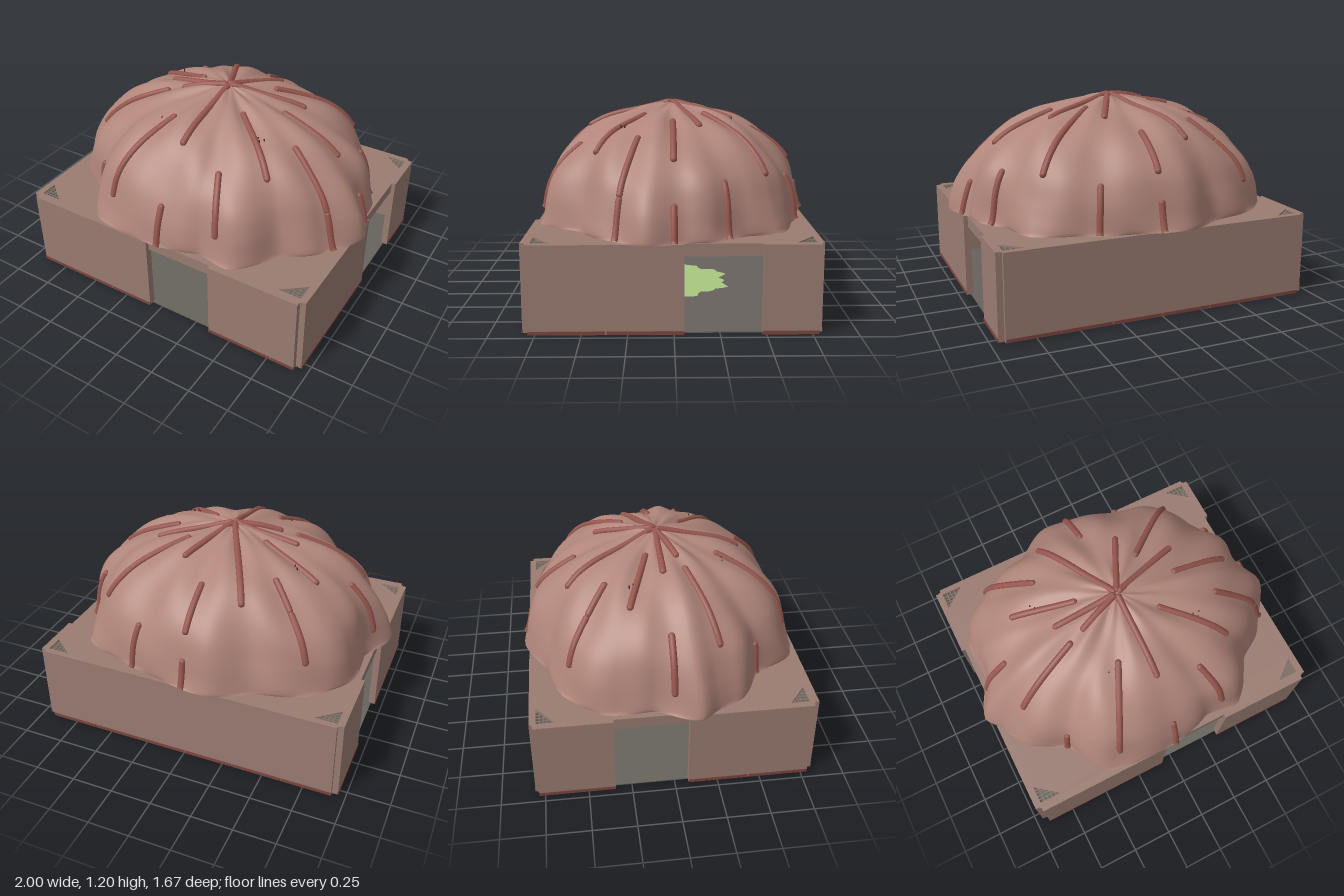
import * as THREE from 'three';

const mat = (color) => new THREE.MeshStandardMaterial({ color, side: THREE.DoubleSide });
const M = {
  wall: mat(0x9a7c72), dome: mat(0xb0857a), vein: mat(0x96564d), trim: mat(0x7c453e),
  floor: mat(0x67625c), moss: mat(0xa8c880), grille: mat(0x7a7268), dark: mat(0x4a2f2b), glow: mat(0xe0a070),
};
const ELL = [0.93, 0.8];

// dome footprint (x, z) by growing angle
const OUTLINE = [
  [1, .14], [.845, .385], [.66, .53], [.47, .775], [.25, .75], [-.155, .82], [-.465, .775], [-.61, .535],
  [-.85, .385], [-.92, .25], [-1, .14], [-.89, -.11], [-.89, -.375], [-.72, -.59], [-.4, -.71],
  [-.155, -.83], [.17, -.78], [.43, -.71], [.72, -.6], [.78, -.4], [.91, -.21], [.925, -.07],
].map(([x, z]) => ({ a: (Math.atan2(z, x) + 2 * Math.PI) % (2 * Math.PI), r: Math.hypot(x, z) }));

// dome profile (relative radius, height)
const PROFILE = new THREE.SplineCurve([
  [1, .5], [.985, .57], [.955, .68], [.9, .8], [.8, .91], [.66, 1.01], [.48, 1.085], [.28, 1.135], [.12, 1.165], [0, 1.18],
].map((p) => new THREE.Vector2(...p)));

function footRadius(angle) {
  const full = 2 * Math.PI, n = OUTLINE.length;
  const a = ((angle % full) + full) % full;
  let i = OUTLINE.findIndex((p) => p.a > a);
  if (i < 0) i = 0;
  const p = OUTLINE[(i + n - 1) % n], q = OUTLINE[i];
  const span = (q.a - p.a + full) % full;
  const k = ((a - p.a + full) % full) / span;
  return p.r + (q.r - p.r) * (k * 0.5 + k * k * (3 - 2 * k) * 0.5);
}

// point on the lumpy dome; phi is the ellipse angle, t runs from rim to crown
function domePoint(phi, t) {
  const ex = ELL[0] * Math.cos(phi), ez = ELL[1] * Math.sin(phi);
  const a = Math.atan2(ez, ex), er = Math.hypot(ex, ez);
  const p = PROFILE.getPoint(t);
  const r = p.x * THREE.MathUtils.lerp(footRadius(a), er, Math.min(1, t * 0.9));
  const body = Math.sin(Math.PI * Math.min(1, t * 1.02));
  const pleat = -0.014 * Math.cos(16 * phi) * Math.sin(Math.PI * Math.sqrt(t));
  const lump = 0.013 * body * (Math.sin(5 * phi + 9 * t) + Math.sin(9 * phi - 14 * t + 2));
  const push = 1 + (pleat + lump) * (1 - t);
  return new THREE.Vector3(r * push * Math.cos(a), p.y + (pleat + lump) * t * 1.2, r * push * Math.sin(a));
}

// rim-to-crown parameter at a relative radius
function paramAt(rho) {
  let lo = 0, hi = 1;
  for (let i = 0; i < 24; i++) {
    const m = (lo + hi) / 2;
    if (PROFILE.getPoint(m).x > rho) lo = m; else hi = m;
  }
  return lo;
}

function domeGeometry(rows = 48, cols = 192) {
  const pos = [], idx = [];
  for (let j = 0; j <= rows; j++) {
    for (let i = 0; i < cols; i++) pos.push(...domePoint((i / cols) * Math.PI * 2, j / rows).toArray());
  }
  for (let j = 0; j < rows; j++) {
    for (let i = 0; i < cols; i++) {
      const a = j * cols + i, b = j * cols + (i + 1) % cols;
      idx.push(a, a + cols, b, b, a + cols, b + cols);
    }
  }
  const g = new THREE.BufferGeometry();
  g.setAttribute('position', new THREE.Float32BufferAttribute(pos, 3));
  g.setIndex(idx);
  g.computeVertexNormals();
  return g;
}

export function createModel() {
  const root = new THREE.Group();
  const add = (name, geo, material, x = 0, y = 0, z = 0, parent = root) => {
    const m = new THREE.Mesh(geo, material);
    m.name = name;
    m.position.set(x, y, z);
    parent.add(m);
    return m;
  };
  // box given by its limits
  const slab = (name, material, x0, x1, y0, y1, z0, z1) =>
    add(name, new THREE.BoxGeometry(x1 - x0, y1 - y0, z1 - z0), material, (x0 + x1) / 2, (y0 + y1) / 2, (z0 + z1) / 2);

  // floor with a ragged moss patch
  slab('floor', M.floor, -.93, .93, 0, .006, -.79, .795);
  const moss = new THREE.Shape(Array.from({ length: 60 }, (_, i) => {
    const a = (i / 60) * Math.PI * 2;
    const r = .35 + .025 * Math.sin(7 * a) + .02 * Math.sin(17 * a + 1);
    return new THREE.Vector2(r * Math.cos(a), r * Math.sin(a));
  }));
  add('mossPatch', new THREE.ShapeGeometry(moss).rotateX(-Math.PI / 2), M.moss, 0, .01, 0);

  // walls: closed at the back, a doorway in the other three
  slab('backWall', M.wall, -.92, .92, 0, .5, -.806, -.77);
  slab('frontWallRight', M.wall, -.92, -.07, 0, .5, .78, .823);
  slab('frontWallLeft', M.wall, .355, .92, 0, .5, .78, .823);
  slab('frontLintel', M.wall, -.07, .355, .43, .5, .78, .8);
  for (const [side, z0, z1] of [[1, -.48, -.055], [-1, -.345, .08]]) {
    const xs = side > 0 ? [.915, .955] : [-.955, -.915];
    slab('sideWallBack', M.wall, ...xs, 0, .5, -.785, z0);
    slab('sideWallFront', M.wall, ...xs, 0, .5, z1, .79);
    slab('sideLintel', M.wall, side > 0 ? .915 : -.93, side > 0 ? .93 : -.915, .43, .5, z0, z1);
    // base trim along the side
    for (const [a, b] of [[-.785, z0], [z1, (z1 + .79) / 2 - .004], [(z1 + .79) / 2 + .004, .79]]) {
      slab('sideTrim', M.trim, side > 0 ? .95 : -.958, side > 0 ? .958 : -.95, 0, .02, a, b);
    }
  }
  for (const [a, b] of [[-.92, -.365], [-.36, -.215], [-.21, -.07], [.355, .63], [.635, .77], [.775, .92]]) {
    slab('frontTrim', M.trim, a, b, 0, .02, .818, .826);
  }
  for (let i = 0; i < 6; i++) {
    slab('backTrim', M.trim, -.92 + i * .307, -.92 + i * .307 + .302, 0, .02, -.81, -.8);
  }

  // roof plate, open under the dome and at the four corner vents
  const roof = new THREE.Shape([[-.932, -.79], [.932, -.79], [.932, .797], [-.932, .797]].map((p) => new THREE.Vector2(...p)));
  const opening = new THREE.Path();
  opening.absellipse(0, 0, .8, .68, 0, Math.PI * 2);
  roof.holes.push(opening);
  for (const sx of [1, -1]) {
    for (const sz of [1, -1]) {
      const x = sx * .912, z = sz * .768;
      roof.holes.push(new THREE.Path([[x, z], [x - sx * .13, z], [x, z - sz * .105]].map((p) => new THREE.Vector2(...p))));
      // grille bars in each vent
      for (let i = 1; i < 5; i++) {
        const k = i / 5;
        add('ventBar', new THREE.BoxGeometry(.008, .008, .105 * (1 - k)), M.grille, x - sx * .13 * k, .49, z - sz * .0525 * (1 - k));
        add('ventCrossbar', new THREE.BoxGeometry(.13 * (1 - k), .008, .008), M.grille, x - sx * .065 * (1 - k), .488, z - sz * .105 * k);
      }
    }
  }
  add('roof', new THREE.ExtrudeGeometry(roof, { depth: .02, bevelEnabled: false, curveSegments: 32 }).rotateX(Math.PI / 2), M.wall, 0, .5, 0);

  // dome
  add('dome', domeGeometry(), M.dome);

  // veins: meridian number, then inner and outer relative radius
  const veins = [
    [0, .41, .78], [0, .95, 1], [1, .64, .93], [1, .94, 1], [2, .3, .78], [3, .74, .96], [4, .03, .62], [4, .93, 1],
    [5, .46, .88], [5, .89, .95], [6, .95, 1], [7, .42, .87], [7, .03, .3], [8, .03, .42], [8, .8, .97], [9, .27, .67],
    [10, .58, .76], [10, .78, .95], [11, .03, .73], [12, .62, .88], [12, .96, 1], [13, .03, .47], [13, .92, 1],
    [14, .33, .88], [15, .03, .5], [15, .9, 1],
  ];
  for (const [n, inner, outer] of veins) {
    const t0 = paramAt(outer), t1 = paramAt(inner);
    const phi = (n / 16) * Math.PI * 2;
    const pts = Array.from({ length: 9 }, (_, i) => domePoint(phi, t0 + (t1 - t0) * (i / 8)));
    const vein = new THREE.Group();
    vein.name = 'vein';
    root.add(vein);
    add('veinTube', new THREE.TubeGeometry(new THREE.CatmullRomCurve3(pts), 20, .02, 10), M.vein, 0, 0, 0, vein);
    // tapered ends
    for (const p of [pts[0], pts[8]]) {
      if (p.y > .53) add('veinEnd', new THREE.SphereGeometry(.02, 10, 8), M.vein, p.x, p.y, p.z, vein);
    }
  }

  // hanging lamps, their cords just piercing the dome
  for (const [x, z, top] of [[.12, -.35, 1.08], [-.43, -.19, 1.07], [-.22, .36, 1.07], [.36, .29, 1.07]]) {
    for (let i = 0; i < 5; i++) {
      const dx = (i - 2) * .02, dz = (i % 2) * .025 - .012;
      add('lampCord', new THREE.CylinderGeometry(.004, .004, .34, 6), M.dark, x + dx, top - .17, z + dz);
    }
    add('lamp', new THREE.SphereGeometry(.045, 16, 12), M.vein, x, top - .36, z);
  }

  // hooks, ledges and a framed oval on the inside of the back wall
  for (let i = 0; i < 8; i++) {
    add('hook', new THREE.CapsuleGeometry(.006, .025, 4, 6), M.dark, -.03 + i * .052, .37, -.765);
  }
  for (const y of [.068, .108]) slab('ledge', M.trim, -.07, .35, y - .004, y + .004, -.77, -.74);
  slab('frame', M.grille, .13, .22, .115, .23, -.77, -.75);
  add('oval', new THREE.SphereGeometry(.025, 16, 12).scale(1, 1.4, .4), M.glow, .175, .172, -.75);
  // hooks on the inside of the right wall
  for (const z of [-.45, -.39]) add('sideHook', new THREE.CapsuleGeometry(.006, .02, 4, 6), M.dark, -.91, .375, z);

  return root;
}
